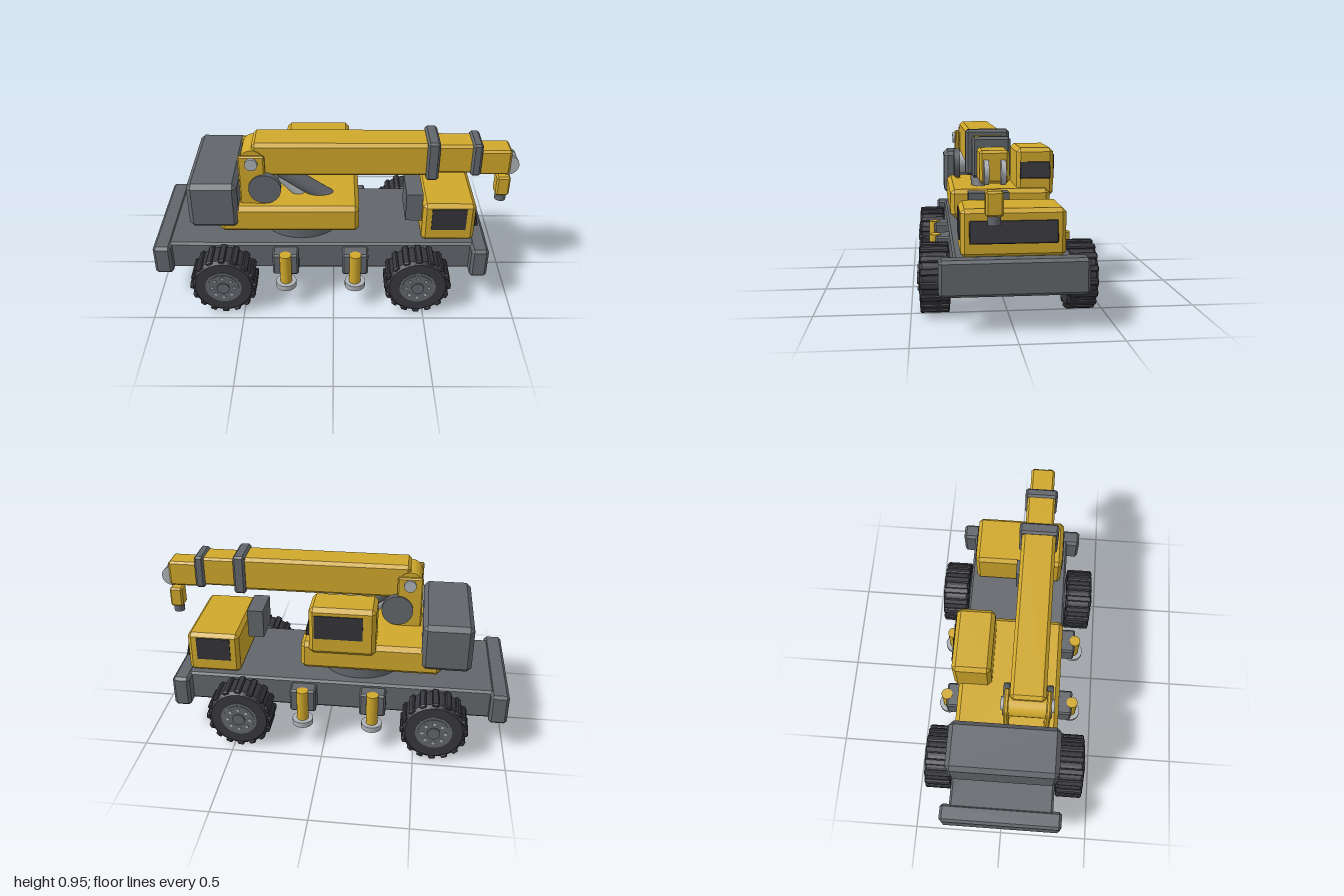
import * as THREE from 'three';
import { ConvexGeometry } from 'three/addons/geometries/ConvexGeometry.js';

const mat = (name, color, flatShading = false) => {
  const m = new THREE.MeshStandardMaterial({ color });
  m.name = name;
  m.flatShading = flatShading;
  return m;
};

export function createModel() {
  const yellow = mat('yellow paint', 0xd0a82b);
  const grey = mat('chassis grey', 0x62666b);
  const rubber = mat('tyre rubber', 0x38373d);
  const glass = mat('dark glass', 0x343339);
  const silver = mat('light metal', 0xaeb2b6);
  const model = new THREE.Group();

  const add = (name, geo, material, parent = model) => {
    const m = new THREE.Mesh(geo, material);
    m.name = name;
    parent.add(m);
    return m;
  };

  // Chamfered box given by its min/max on each axis
  const block = (name, [x0, x1], [y0, y1], [z0, z1], c, material, parent = model) => {
    const h = [(x1 - x0) / 2, (y1 - y0) / 2, (z1 - z0) / 2];
    let geo;
    if (c > 0) {
      const pts = [];
      for (const sx of [-1, 1]) for (const sy of [-1, 1]) for (const sz of [-1, 1])
        for (let k = 0; k < 3; k++) {
          const e = h.map((v, i) => (i === k ? v : v - c));
          pts.push(new THREE.Vector3(sx * e[0], sy * e[1], sz * e[2]));
        }
      geo = new ConvexGeometry(pts);
    } else geo = new THREE.BoxGeometry(2 * h[0], 2 * h[1], 2 * h[2]);
    const m = add(name, geo, material, parent);
    m.position.set((x0 + x1) / 2, (y0 + y1) / 2, (z0 + z1) / 2);
    return m;
  };

  // Cylinder between two points
  const rod = (name, a, b, r, material, parent = model, sides = 24) => {
    const p = new THREE.Vector3(...a), q = new THREE.Vector3(...b);
    const m = add(name, new THREE.CylinderGeometry(r, r, p.distanceTo(q), sides), material, parent);
    m.position.copy(p).add(q).multiplyScalar(0.5);
    m.quaternion.setFromUnitVectors(new THREE.Vector3(0, 1, 0), q.sub(p).normalize());
    return m;
  };

  // Chassis
  block('chassisDeck', [-0.92, 0.8], [0.19, 0.36], [-0.29, 0.29], 0.012, grey);
  block('rearBumper', [-1, -0.9], [0.185, 0.362], [-0.34, 0.34], 0.015, grey);
  block('frontBumper', [0.76, 0.855], [0.182, 0.362], [-0.363, 0.363], 0.015, grey);

  // Wheels: lathed tyre, tread lugs, rim, hub and bolts
  const wheelY = 0.184;
  const makeWheel = () => {
    const w = new THREE.Group();
    w.name = 'wheel';
    const profile = [[0.095, -0.077], [0.155, -0.077], [0.172, -0.062], [0.172, 0.062],
      [0.155, 0.077], [0.095, 0.077]].map(([r, y]) => new THREE.Vector2(r, y));
    const tyreGeo = new THREE.LatheGeometry(profile, 32).toNonIndexed();
    tyreGeo.computeVertexNormals();
    add('tyre', tyreGeo, rubber, w).rotation.x = Math.PI / 2;
    for (let i = 0; i < 16; i++) {
      const holder = new THREE.Group();
      holder.name = 'treadLug';
      holder.rotation.z = (i * Math.PI) / 8;
      block('lug', [0.16, 0.183], [-0.018, 0.018], [-0.075, 0.075], 0.006, rubber, holder);
      w.add(holder);
    }
    rod('rim', [0, 0, -0.086], [0, 0, 0.079], 0.1, grey, w, 32);
    rod('rimDish', [0, 0, 0.07], [0, 0, 0.082], 0.085, grey, w, 32);
    rod('hubCap', [0, 0, 0.07], [0, 0, 0.091], 0.035, grey, w, 12);
    for (let i = 0; i < 8; i++) {
      const a = (i * Math.PI) / 4, x = 0.062 * Math.cos(a), y = 0.062 * Math.sin(a);
      rod('wheelBolt', [x, y, 0.07], [x, y, 0.088], 0.009, silver, w, 8);
    }
    return w;
  };
  for (const x of [-0.605, 0.463]) {
    rod('axle', [x, wheelY, -0.31], [x, wheelY, 0.31], 0.045, grey);
    for (const s of [-1, 1]) {
      const w = makeWheel();
      w.position.set(x, wheelY, s * 0.377);
      if (s < 0) w.rotation.y = Math.PI;
      model.add(w);
    }
  }

  // Outriggers
  for (const x of [-0.265, 0.12]) for (const s of [-1, 1]) {
    const z = s * 0.367;
    block('outriggerBox', [x - 0.072, x + 0.072], [0.2, 0.337], s > 0 ? [0.27, 0.367] : [-0.367, -0.27], 0.01, grey);
    rod('outriggerLeg', [x, 0.155, z], [x, 0.34, z], 0.032, yellow);
    rod('outriggerFoot', [x, 0.13, z], [x, 0.162, z], 0.057, silver);
  }

  // Driver cab with windows
  block('driverCab', [0.49, 0.78], [0.355, 0.592], [-0.255, 0.255], 0.02, yellow);
  for (const s of [-1, 1])
    block('cabSideWindow', [0.54, 0.73], [0.435, 0.568], [s * 0.256 - 0.004, s * 0.256 + 0.004], 0, glass);
  block('windscreen', [0.771, 0.795], [0.425, 0.537], [-0.213, 0.213], 0.004, glass).rotation.z = 0.22;
  block('boomRest', [0.4, 0.492], [0.457, 0.625], [-0.01, 0.2], 0, grey);

  // Turntable and rotating platform
  rod('turntable', [-0.18, 0.35, 0], [-0.18, 0.44, 0], 0.235, grey, model, 40);
  block('platform', [-0.625, 0.14], [0.43, 0.59], [-0.28, 0.28], 0.023, yellow);
  block('counterweight', [-0.785, -0.515], [0.47, 0.74], [-0.298, 0.298], 0.025, grey);

  // Operator cabin
  block('operatorCabin', [-0.27, 0.09], [0.54, 0.815], [-0.307, -0.097], 0.022, yellow);
  block('operatorSideWindow', [-0.2, 0.06], [0.64, 0.775], [-0.313, -0.305], 0, glass);
  block('operatorFrontWindow', [0.08, 0.102], [0.642, 0.738], [-0.287, -0.115], 0.004, glass).rotation.z = 0.2;

  // Boom mast and pivot
  const bz = 0.108;
  for (const s of [-1, 1]) {
    const z = bz + s * 0.108;
    block('mastPlate', [-0.507, -0.365], [0.56, 0.88], [z - 0.014, z + 0.014], 0.008, yellow);
  }
  rod('boomPivot', [-0.435, 0.838, 0.01], [-0.435, 0.838, 0.206], 0.066, yellow);
  rod('pivotPin', [-0.435, 0.838, -0.03], [-0.435, 0.838, 0.246], 0.034, silver);

  // Winch drum
  rod('winchDrum', [-0.37, 0.69, 0], [-0.37, 0.69, 0.216], 0.068, silver);
  for (const z of [-0.025, 0.207]) rod('winchFlange', [-0.37, 0.685, z], [-0.37, 0.685, z + 0.034], 0.088, grey);

  // Lift cylinder
  rod('liftBarrel', [-0.02, 0.55, bz], [-0.33, 0.762, bz], 0.044, grey);
  rod('liftRod', [-0.17, 0.56, bz], [-0.37, 0.78, bz], 0.03, silver);

  // Telescopic boom, collars and tip
  const boomPart = (name, x, y, half, c, m) => block(name, x, y, [bz - half, bz + half], c, m);
  boomPart('boomMain', [-0.435, 0.52], [0.742, 0.938], 0.093, 0.018, yellow);
  boomPart('boomCollar', [0.494, 0.562], [0.725, 0.952], 0.108, 0.012, grey);
  boomPart('boomMiddle', [0.54, 0.76], [0.754, 0.922], 0.078, 0.012, yellow);
  boomPart('boomFrontCollar', [0.735, 0.79], [0.742, 0.933], 0.09, 0.012, grey);
  boomPart('boomTip', [0.77, 0.952], [0.737, 0.885], 0.067, 0.012, yellow);
  for (const z of [0.07, 0.146]) rod('tipSheave', [0.943, 0.788, z - 0.011], [0.943, 0.788, z + 0.011], 0.057, silver);

  // Hook block
  boomPart('hookBlock', [0.895, 0.97], [0.588, 0.705], 0.042, 0.01, yellow);
  rod('hookSwivel', [0.933, 0.547, bz], [0.933, 0.6, bz], 0.031, grey);

  return model;
}
